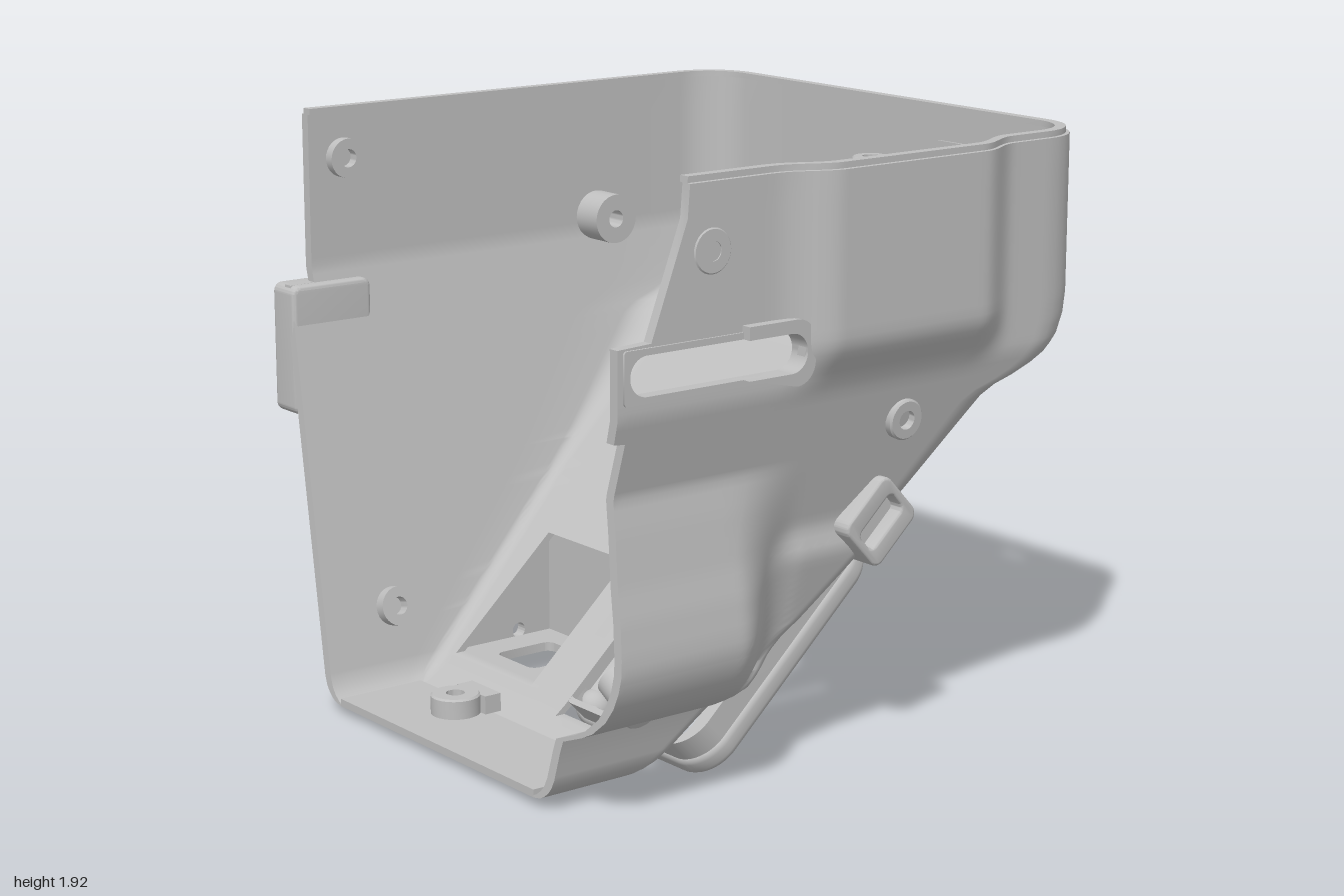
import * as THREE from 'three';
import { toCreasedNormals } from 'three/addons/utils/BufferGeometryUtils.js';

const TILT = Math.atan(0.92); // angle of the sloping underside
const grey = new THREE.MeshStandardMaterial({ color: 0xbfbfbf });
grey.name = 'plain light grey';

const smooth = (a, b, v) => THREE.MathUtils.smoothstep(v, a, b);
// piecewise linear lookup in [key, value] pairs
function lookup(table, k) {
  if (k <= table[0][0]) return table[0][1];
  for (let i = 1; i < table.length; i++) {
    const [k0, v0] = table[i - 1], [k1, v1] = table[i];
    if (k <= k1) return v0 + (v1 - v0) * (k - k0) / (k1 - k0);
  }
  return table[table.length - 1][1];
}

// profiles of the housing, by height
const RIGHT = [[0.03, -0.56], [1.108, 0.62], [1.14, 0.68], [1.165, 0.76], [1.19, 0.82],
  [1.22, 0.87], [1.27, 0.915], [1.33, 0.94], [1.4, 0.95]];
const FRONT_EDGE = [[0.03, -0.95], [1.175, -0.88], [1.18, -0.92], [1.455, -0.92],
  [1.46, -0.8], [1.8, -0.67], [1.92, -0.66]];
const BACK_EDGE = [[0.03, -0.95], [1.35, -0.87], [1.351, -0.78]];
const BULGE = [[0.24, 0.68], [0.275, 0.77], [0.3, 0.82], [0.35, 0.88], [0.4, 0.915], [0.45, 0.935], [0.5, 0.945],
  [0.55, 0.943], [0.65, 0.93], [0.75, 0.91], [0.9, 0.888], [1.0, 0.87]];
const cornerRadius = y => 0.08 + 0.12 * smooth(0.6, 1.3, y);
const fillet = y => (y < 0.11 ? 0.08 * (1 - Math.sqrt(1 - ((0.11 - y) / 0.08) ** 2)) : 0) + (y > 1.9 ? 0.012 : 0);

// front wall depth with raised panel, side bulge and low ridge
function frontZ(x, y) {
  const base = 0.93 - 0.25 * Math.max(0, 1.25 - y);
  const panel = 0.07 * smooth(1.22, 1.4, y) * smooth(-0.34, -0.14, x) * (1 - smooth(0.42, 0.6, x));
  const bulge = y < 0.24 || y > 1.02 ? 0 : Math.max(0, lookup(BULGE, y) - base) * (1 - smooth(-0.47, -0.17, x));
  const ridge = 0.04 * smooth(0.3, 0.42, y) * (1 - smooth(0.68, 0.8, y)) * smooth(-0.3, -0.14, x);
  return base + panel + bulge + ridge;
}
const backZ = y => -0.95 + 0.25 * Math.max(0, 1.4 - y);

const XS = [-0.92];
for (let i = 0; i <= 12; i++) XS.push(-0.88 + 0.63 * i / 12);
for (let i = 1; i <= 50; i++) XS.push(-0.25 + i / 50);
const ZS = [0.59, 0.43, 0.25, 0.1, -0.1, -0.53];
const ARC = 8;

// one horizontal section: front wall, corner, right wall, corner, back wall
function section(y, wall) {
  const inset = fillet(y) + wall, rc = cornerRadius(y), R = lookup(RIGHT, y), cx = R - rc;
  const pts = [], add = (x, z) => pts.push(new THREE.Vector3(x, y, z));
  const x0 = lookup(FRONT_EDGE, y), b0 = lookup(BACK_EDGE, y);
  const start = y > 1.178 ? -0.92 : x0;
  for (const xs of XS) {
    const x = Math.max(x0, start + (cx - start) * (xs + 0.92) / 1.67);
    add(x, frontZ(x, y) - inset);
  }
  const r = Math.max(0.005, rc - inset);
  const zf = frontZ(cx, y) - inset - r, zb = backZ(y) + inset + r, xr = R - inset - r;
  for (let i = 1; i <= ARC; i++) {
    const a = Math.PI / 2 * (1 - i / ARC);
    add(xr + r * Math.cos(a), zf + r * Math.sin(a));
  }
  for (const z of ZS) add(R - inset, Math.max(zb, Math.min(zf, z)));
  for (let i = 0; i <= ARC; i++) {
    const a = -Math.PI / 2 * i / ARC;
    add(xr + r * Math.cos(a), zb + r * Math.sin(a));
  }
  for (let i = 1; i <= 6; i++) add(xr + (b0 - xr) * i / 6, backZ(y) + inset);
  return pts;
}

// double-walled shell with openings left out of the grid
function shellGeometry() {
  const ys = [0.03, 0.036, 0.045, 0.06, 0.08, 0.11, 0.12, 0.16, 0.2, 0.24, 0.47, 0.72, 1.02, 1.108, 1.14, 1.165,
    1.175, 1.18, 1.19, 1.22, 1.245, 1.27, 1.29, 1.31, 1.33, 1.35, 1.351, 1.375, 1.4, 1.43, 1.455, 1.46, 1.67,
    1.8, 1.9, 1.901, 1.92];
  for (let i = 0; i < 33; i++) ys.push(0.2501 + i * 0.025);
  ys.sort((a, b) => a - b);
  const outer = ys.map(y => section(y, 0)), inner = ys.map(y => section(y, 0.035));
  const nu = outer[0].length - 1, nv = ys.length - 1;
  const between = (v, a, b) => v > a && v < b;
  const kept = (u, v) => {
    if (u < 0 || v < 0 || u >= nu || v >= nv) return false;
    const y = (ys[v] + ys[v + 1]) / 2, z = (outer[v][u].z + outer[v][u + 1].z) / 2;
    if (u < XS.length - 1) return !(u >= 1 && u < 13 && between(y, 1.31, 1.43));
    const first = XS.length - 1 + ARC;
    if (u < first || u > first + ZS.length) return true;
    return !(between(z, 0.1, 0.6) && between(y, 0.08, 0.72)
      || between(z, -0.531, -0.1) && between(y, 0.12, 0.47)
      || between(z, 0.25, 0.43) && between(y, 1.67, 1.8));
  };
  const pos = [];
  const quad = (...q) => [0, 1, 2, 0, 2, 3].forEach(i => pos.push(q[i].x, q[i].y, q[i].z));
  for (let v = 0; v < nv; v++) for (let u = 0; u < nu; u++) {
    if (!kept(u, v)) continue;
    const ring = [[u, v], [u + 1, v], [u + 1, v + 1], [u, v + 1]];
    const o = ring.map(([a, b]) => outer[b][a]), n = ring.map(([a, b]) => inner[b][a]);
    quad(...o);
    quad(n[3], n[2], n[1], n[0]);
    [[0, -1], [1, 0], [0, 1], [-1, 0]].forEach(([du, dv], i) => {
      const j = (i + 1) % 4;
      if (!kept(u + du, v + dv)) quad(o[j], o[i], n[i], n[j]);
    });
  }
  const g = new THREE.BufferGeometry();
  g.setAttribute('position', new THREE.Float32BufferAttribute(pos, 3));
  return toCreasedNormals(g, 0.8);
}

// rounded rectangle, centred on cx, cy
function roundRect(w, h, r, cx = 0, cy = 0, Type = THREE.Shape) {
  const s = new Type(), x = w / 2 - r, y = h / 2 - r;
  [[x, y], [-x, y], [-x, -y], [x, -y]].forEach(([px, py], i) =>
    s.absarc(cx + px, cy + py, r, i * Math.PI / 2, (i + 1) * Math.PI / 2));
  s.closePath();
  return s;
}
function plate(shape, holes, depth, bevel = 0) {
  shape.holes.push(...holes);
  return toCreasedNormals(new THREE.ExtrudeGeometry(shape, {
    depth: depth - 2 * bevel, bevelEnabled: bevel > 0, bevelSize: bevel, bevelThickness: bevel,
    bevelOffset: -bevel, bevelSegments: 4, curveSegments: 10 }).translate(0, 0, bevel), 0.6);
}
const hole = (w, h, r, x, y) => roundRect(w, h, r, x, y, THREE.Path);

export function createModel() {
  const model = new THREE.Group();
  model.name = 'housing';
  const add = (name, geo, x = 0, y = 0, z = 0) => {
    const m = new THREE.Mesh(geo, grey);
    m.name = name;
    m.position.set(x, y, z);
    model.add(m);
    return m;
  };
  add('shell', shellGeometry());

  // floor closing the bottom
  const base = section(0.03, 0).map(p => new THREE.Vector2(p.x, -p.z));
  add('floor', plate(new THREE.Shape(base), [], 0.025), 0, 0.03, 0).rotation.x = -Math.PI / 2;

  // outlet frame standing off the slope: rounded rim on a thin skirt
  const c = Math.cos(TILT), s = Math.sin(TILT);
  const tilt = new THREE.Matrix4().makeBasis(
    new THREE.Vector3(c, s, 0), new THREE.Vector3(0, 0, 1), new THREE.Vector3(s, -c, 0));
  const onSlope = (name, geo, lift) =>
    add(name, geo, -0.157 + s * lift, 0.404 - c * lift, 0.355).quaternion.setFromRotationMatrix(tilt);
  onSlope('outletRim', plate(roundRect(0.91, 0.72, 0.13), [hole(0.79, 0.52, 0.05, 0, 0)], 0.08, 0.025), 0.06);
  onSlope('outletSkirt', plate(roundRect(0.89, 0.7, 0.12), [hole(0.85, 0.6, 0.07, 0, 0)], 0.11), -0.02);
  add('outletKnobUpper', new THREE.SphereGeometry(0.085, 20, 14), 0.19, 0.645, 0.49);
  add('outletKnobLower', new THREE.SphereGeometry(0.06, 20, 14), -0.37, 0.065, 0.07);

  // bracket box below the slope
  const wedge = () => new THREE.Shape([[-0.5, 0.1], [-0.06, 0.08], [-0.06, 0.48]].map(p => new THREE.Vector2(...p)));
  for (const z of [-0.1, -0.6]) add('bracketSide', plate(wedge(), [hole(0.05, 0.05, 0.024, -0.22, 0.14)], 0.04), 0, 0, z);
  add('bracketBottom', plate(roundRect(0.42, 0.46, 0.01), [hole(0.22, 0.21, 0.03, -0.01, 0.01)], 0.03), -0.275, 0.09, -0.33)
    .rotation.x = -Math.PI / 2;
  add('bracketFace', plate(roundRect(0.48, 0.39, 0.01), [hole(0.06, 0.06, 0.029, 0, -0.14)], 0.03), -0.092, 0.28, -0.33)
    .rotation.y = Math.PI / 2;

  // guide slot with its raised lip
  add('slotFrame', plate(roundRect(0.67, 0.16, 0.01), [hole(0.63, 0.12, 0.0599, 0, 0)], 0.045), -0.565, 1.37, 0.892);
  const lip = new THREE.Shape();
  lip.moveTo(-0.47, 1.27);
  lip.absarc(-0.29, 1.34, 0.07, -Math.PI / 2, 0);
  lip.absarc(-0.29, 1.4, 0.07, 0, Math.PI / 2);
  lip.lineTo(-0.47, 1.47);
  lip.lineTo(-0.47, 1.43);
  lip.absarc(-0.31, 1.37, 0.06, Math.PI / 2, -Math.PI / 2, true);
  lip.lineTo(-0.47, 1.31);
  add('slotLip', plate(lip, [], 0.07), 0, 0, 0.895);

  // tilted socket on the front
  add('socket', plate(roundRect(0.2, 0.23, 0.035), [hole(0.075, 0.17, 0.02, 0, 0)], 0.17, 0.01), 0.125, 0.772, 0.71)
    .rotation.z = TILT - Math.PI / 2;
  add('socketBack', new THREE.BoxGeometry(0.1, 0.18, 0.02), 0.125, 0.772, 0.82).rotation.z = TILT - Math.PI / 2;

  // small window recess in the right wall
  add('windowFrame', plate(roundRect(0.18, 0.13, 0.005), [hole(0.12, 0.07, 0.005, 0, 0)], 0.015), 0.905, 1.735, 0.34)
    .rotation.y = Math.PI / 2;

  // screw bosses: position, facing direction, length, radius
  const boss = (p, dir, len = 0.12, r = 0.065, bore = 0.03) => {
    const profile = [[bore, 0], [r, 0], [r, len - 0.006], [r - 0.006, len], [bore, len], [bore, 0]];
    const geo = new THREE.LatheGeometry(profile.map(q => new THREE.Vector2(...q)), 28);
    add('screwBoss', toCreasedNormals(geo, 0.6), ...p)
      .quaternion.setFromUnitVectors(new THREE.Vector3(0, 1, 0), new THREE.Vector3(...dir).normalize());
  };
  boss([-0.58, 1.7, 0.86], [0, 0, 1], 0.074, 0.07);
  boss([0.19, 1.1, 0.8], [0, -0.1, 1], 0.115);
  boss([-0.73, 0.39, 0.66], [0, -0.5, 0.87], 0.16, 0.06);
  boss([0.86, 1.57, 0.19], [1, 0, 0], 0.092);
  boss([0.38, 1.45, -0.8], [0, 0, -1], 0.153, 0.085);
  boss([-0.65, 1.75, -0.88], [0, 0, -1], 0.074);
  boss([-0.67, 0.3, -0.6], [0, -0.24, -1], 0.085);
  boss([-0.73, 0.05, -0.19], [0, 1, 0], 0.07, 0.08);
  boss([0.86, 1.66, -0.02], [0, 1, 0], 0.06);

  // inner ledge, lug and the clip on the back edge
  add('wallLedge', new THREE.BoxGeometry(0.07, 0.08, 0.36), 0.89, 1.58, 0.33);
  add('floorLug', new THREE.BoxGeometry(0.06, 0.06, 0.16), -0.64, 0.085, -0.19);
  add('backClip', plate(roundRect(0.3, 0.43, 0.03), [], 0.13, 0.015), -0.73, 1.135, -1);
  return model;
}
